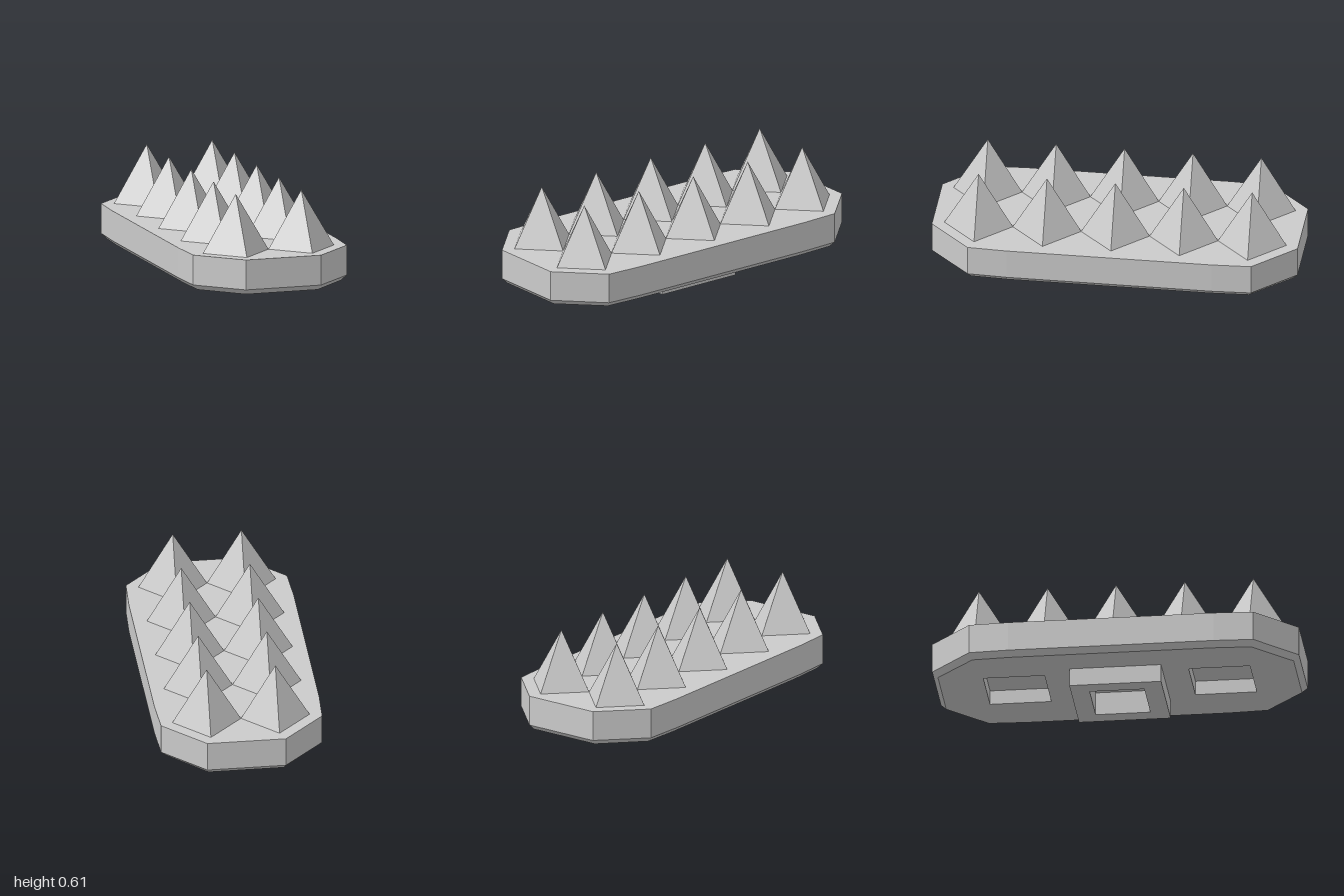
import * as THREE from 'three';

const material = new THREE.MeshStandardMaterial({ color: 0xcccccc, flatShading: true });

// Mirrors a quarter outline [x, z] into a full closed ring
function mirrorRing(quarter) {
  const back = [...quarter].reverse();
  return [
    ...quarter,
    ...back.map(([x, z]) => [-x, z]),
    ...quarter.map(([x, z]) => [-x, -z]),
    ...back.map(([x, z]) => [x, -z]),
  ];
}

function rectRing(halfX, halfZ, cz = 0) {
  return mirrorRing([[halfX, halfZ]]).map(([x, z]) => [x, z + cz]);
}

// Wall strip from a lower ring to an upper ring; a reversed ring faces inward
function band(lower, upper, y0, y1) {
  const pos = [];
  lower.forEach((_, i) => {
    const j = (i + 1) % lower.length;
    const at = (ring, k, y) => [ring[k][0], y, ring[k][1]];
    const a = at(lower, i, y0), b = at(lower, j, y0);
    const c = at(upper, i, y1), d = at(upper, j, y1);
    pos.push(...b, ...a, ...c, ...b, ...c, ...d);
  });
  const geo = new THREE.BufferGeometry();
  geo.setAttribute('position', new THREE.Float32BufferAttribute(pos, 3));
  geo.computeVertexNormals();
  return geo;
}

// Flat face at height y, with optional holes
function cap(ring, y, up = false, holes = []) {
  const toPoints = (r) => r.map(([x, z]) => new THREE.Vector2(x, z));
  const shape = new THREE.Shape(toPoints(ring));
  holes.forEach((h) => shape.holes.push(new THREE.Path(toPoints(h))));
  return new THREE.ShapeGeometry(shape).rotateX(up ? -Math.PI / 2 : Math.PI / 2).translate(0, y, 0);
}

export function createModel() {
  const model = new THREE.Group();
  model.name = 'studdedPlate';
  const add = (geo, name) => {
    const mesh = new THREE.Mesh(geo, material);
    mesh.name = name;
    model.add(mesh);
    return mesh;
  };

  const bottomY = 0.1, bevelY = 0.13, topY = 0.295;
  const outline = mirrorRing([[0.45, 0.56], [0.44, 0.775], [0.215, 1]]);
  const inset = mirrorRing([[0.42, 0.555], [0.41, 0.76], [0.205, 0.97]]);
  const boss = rectRing(0.2375, 0.25);

  // Square pockets in the underside
  const pockets = [
    { name: 'frontPocket', ring: rectRing(0.167, 0.167, 0.56), y0: bottomY, y1: 0.18 },
    { name: 'backPocket', ring: rectRing(0.167, 0.167, -0.56), y0: bottomY, y1: 0.18 },
    { name: 'bossPocket', ring: rectRing(0.149, 0.149), y0: 0, y1: 0.13 },
  ];
  pockets.forEach(({ name, ring, y0, y1 }) => {
    const inward = [...ring].reverse();
    add(band(inward, inward, y0, y1), name + 'Walls');
    add(cap(ring, y1), name + 'Floor');
  });

  // Plate body
  add(band(outline, outline, bevelY, topY), 'plateSides');
  add(band(inset, outline, bottomY, bevelY), 'plateBevel');
  add(cap(outline, topY, true), 'plateTop');
  add(cap(inset, bottomY, false, [pockets[0].ring, pockets[1].ring, boss]), 'plateUnderside');

  // Mounting boss below the plate
  add(band(boss, boss, 0, bottomY), 'bossSides');
  add(cap(boss, 0, false, [pockets[2].ring]), 'bossUnderside');

  // Two rows of five pyramid spikes, corners pointing along the axes
  const height = 0.317;
  const spike = new THREE.ConeGeometry(0.1875, height, 4, 1, true);
  for (const x of [-0.1875, 0.1875]) {
    for (let i = -2; i <= 2; i++) {
      add(spike, 'spike').position.set(x, topY + height / 2, i * 0.374);
    }
  }
  return model;
}
